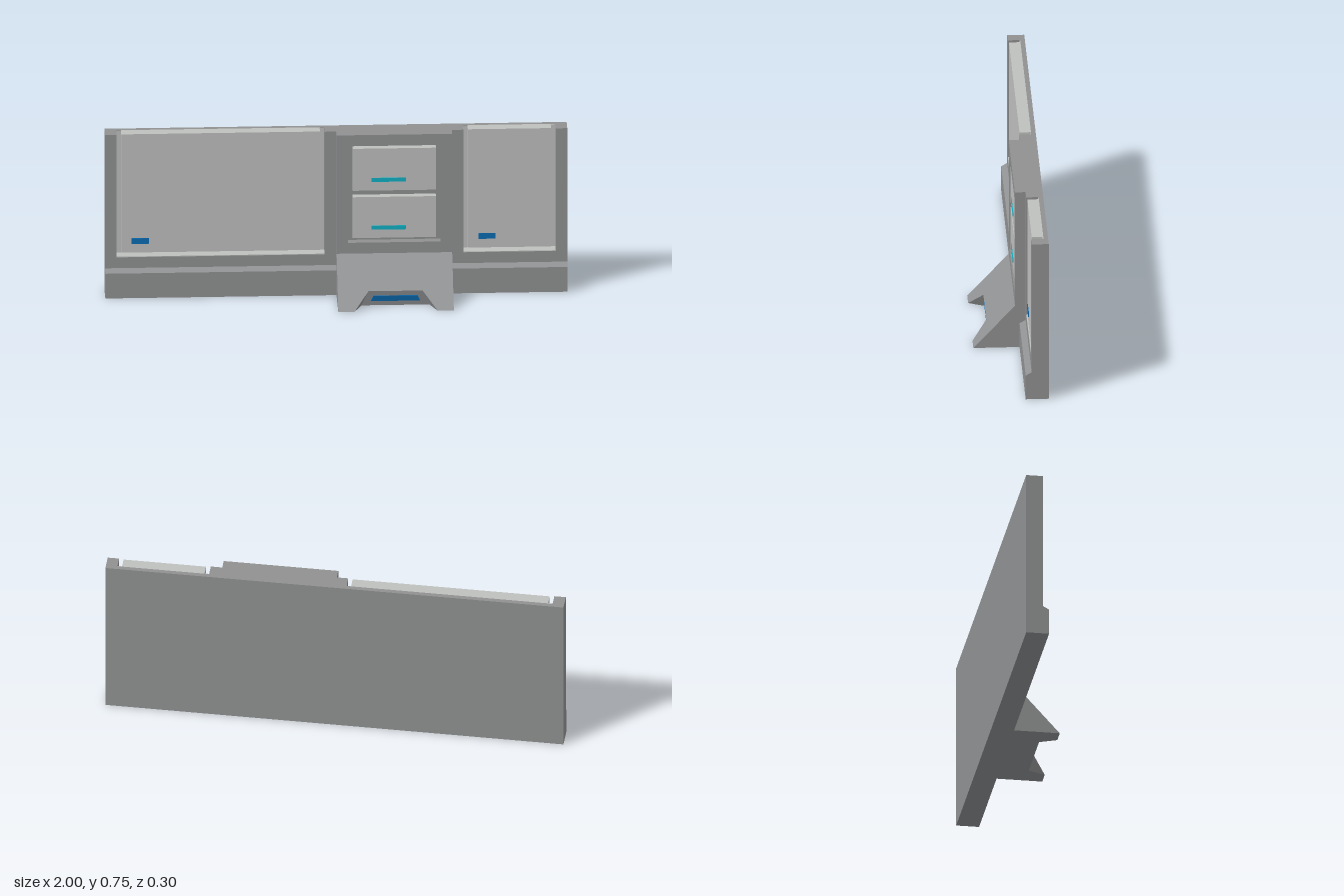
import * as THREE from 'three';

const mat = (name, color) => {
  const m = new THREE.MeshStandardMaterial({ color });
  m.name = name;
  return m;
};

export function createModel() {
  const group = new THREE.Group();
  const frame = mat('frame grey', 0x909192);
  const light = mat('panel light grey', 0xbec0be);
  const blue = mat('marker blue', 0x0a6cb4);
  const cyan = mat('handle cyan', 0x10b0c4);

  const add = (name, geo, material) => {
    const mesh = new THREE.Mesh(geo, material);
    mesh.name = name;
    group.add(mesh);
    return mesh;
  };
  // Box given by its lower and upper limits on each axis
  const box = (name, material, x0, x1, y0, y1, z0, z1) =>
    add(name, new THREE.BoxGeometry(x1 - x0, y1 - y0, z1 - z0)
      .translate((x0 + x1) / 2, (y0 + y1) / 2, (z0 + z1) / 2), material);
  const shapeOf = (pts) => new THREE.Shape(pts.map(([x, y]) => new THREE.Vector2(x, y)));
  const extrude = (shape, depth) => new THREE.ExtrudeGeometry(shape, { depth, bevelEnabled: false });

  // Full-width plinth with a chamfered top edge, profile in (z, y) swept along x
  const plinth = shapeOf([[0.15, 0], [0.15, 0.18], [0.076, 0.18], [0.076, 0.13], [0.05, 0.115], [0.05, 0]]);
  add('plinth', extrude(plinth, 2).rotateY(Math.PI / 2).translate(-1, 0, 0), frame);

  // Wall back and the posts between the recesses
  box('backWall', frame, -1, 1, 0.18, 0.75, -0.15, -0.13);
  for (const [x0, x1] of [[-1, -0.95], [-0.05, 0], [0.5, 0.55], [0.95, 1]])
    box('post', frame, x0, x1, 0.18, 0.75, -0.13, -0.076);

  // Large panels standing in open-topped recesses, each with a blue marker
  for (const [x0, x1, mx] of [[-0.95, -0.05, -0.885], [0.55, 0.95, 0.615]]) {
    box('recessBack', light, x0, x1, 0.18, 0.749, -0.13, -0.127);
    box('recessFloor', light, x0, x1, 0.18, 0.183, -0.13, -0.077);
    box('panel', light, x0 + 0.02, x1 - 0.02, 0.2, 0.75, -0.13, -0.08);
    box('panelMarker', blue, mx, mx + 0.075, 0.241, 0.267, -0.08, -0.077);
  }

  // Column with a framed recess
  box('columnCore', frame, 0, 0.5, 0.2, 0.75, -0.13, -0.065);
  const face = shapeOf([[0, 0.2], [0.5, 0.2], [0.5, 0.75], [0, 0.75]]);
  face.holes.push(new THREE.Path(
    [[0.05, 0.25], [0.05, 0.7], [0.45, 0.7], [0.45, 0.25]].map(([x, y]) => new THREE.Vector2(x, y))));
  add('columnFrame', extrude(face, 0.035).translate(0, 0, -0.065), frame);

  // Two drawers with slim handles
  for (const [y0, y1, hy] of [[0.27, 0.46, 0.318], [0.49, 0.685, 0.54]]) {
    box('drawer', light, 0.07, 0.43, y0, y1, -0.065, -0.034);
    box('drawerHandle', cyan, 0.15, 0.3, hy - 0.009, hy + 0.009, -0.034, -0.031);
  }

  // Sloping foot with a niche cut into its lower edge
  const A = [0, 0.2, -0.03], B = [0.5, 0.2, -0.03], C = [0.5, 0, 0.15], D = [0.43, 0, 0.15];
  const E = [0.367, 0.07, 0.087], F = [0.133, 0.07, 0.087], G = [0.07, 0, 0.15], H = [0, 0, 0.15];
  const I = [0.103, 0, 0.075], J = [0.397, 0, 0.075];
  const L = [0, 0, -0.13], M = [0, 0.2, -0.13], N = [0.5, 0, -0.13], O = [0.5, 0.2, -0.13];
  const polygons = [
    [A, H, G, F], [A, F, E, B], [B, E, D, C],   // slope
    [I, J, E, F], [G, I, F], [D, E, J],         // niche
    [M, L, H, A], [B, C, N, O],                 // sides
    [L, I, G, H], [L, N, J, I], [N, C, D, J],   // underside
  ];
  const tris = [];
  for (const p of polygons)
    for (let i = 1; i < p.length - 1; i++) tris.push(...p[0], ...p[i], ...p[i + 1]);
  const foot = new THREE.BufferGeometry();
  foot.setAttribute('position', new THREE.Float32BufferAttribute(tris, 3));
  foot.computeVertexNormals();
  add('slopedFoot', foot, frame);

  // Tapered marker lying on the leaning niche back
  const strip = shapeOf([[-0.107, -0.013], [0.107, -0.013], [0.095, 0.013], [-0.095, 0.013]]);
  const marker = add('nicheMarker', extrude(strip, 0.003), blue);
  marker.position.set(0.25, 0.035, 0.081);
  marker.rotation.x = Math.atan2(0.012, 0.07);

  return group;
}
